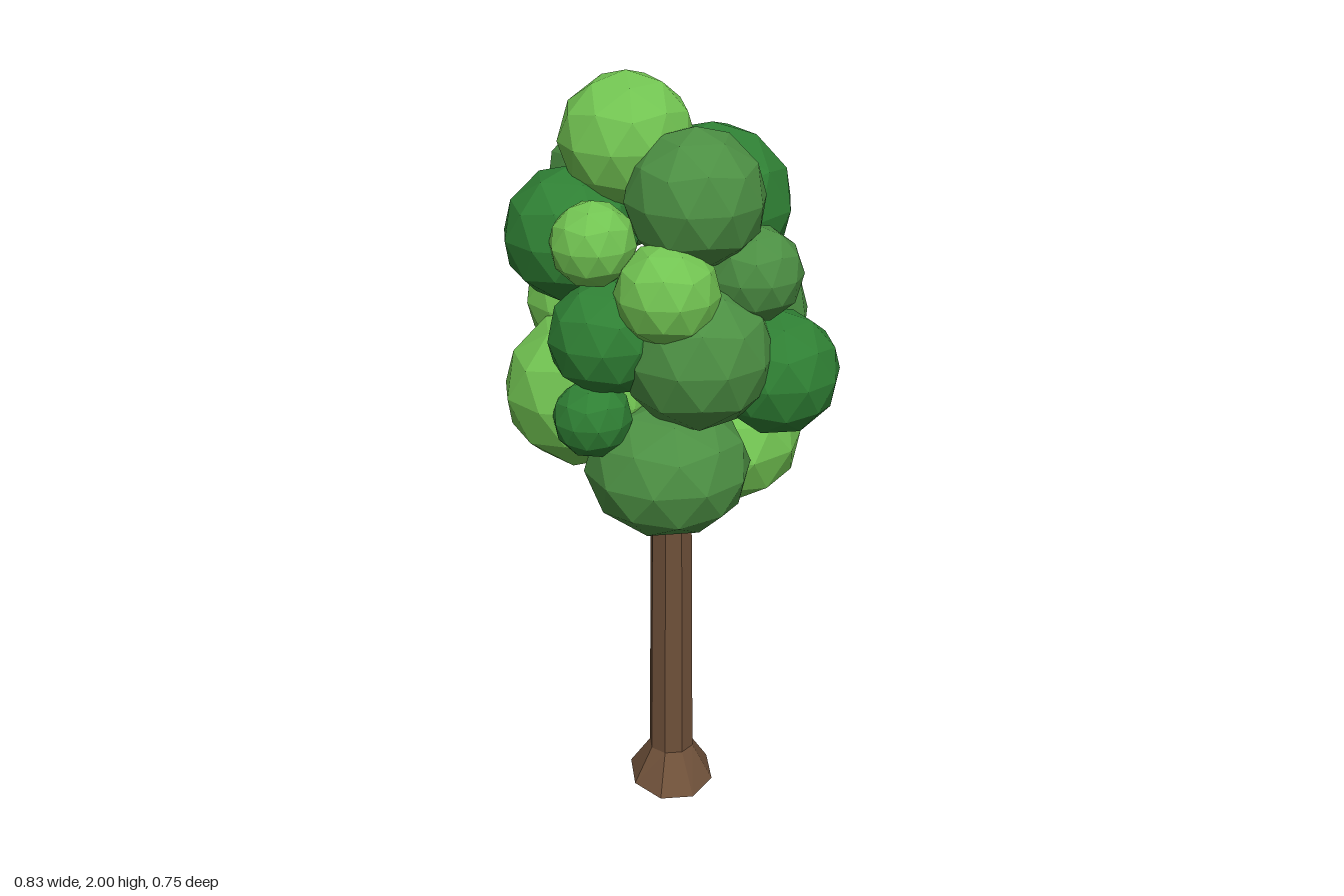
import * as THREE from 'three';

const mat = (color) => new THREE.MeshStandardMaterial({ color, flatShading: true });

export function createModel() {
  const tree = new THREE.Group();
  tree.name = 'tree';

  const bark = mat(0x6e5039);
  const light = mat(0x72c452);
  const mid = mat(0x4c8f43);
  const dark = mat(0x2f8034);

  // Trunk: slim tapered octagonal column reaching into the crown
  const trunk = new THREE.Mesh(new THREE.CylinderGeometry(0.052, 0.062, 1.3, 8), bark);
  trunk.name = 'trunk';
  trunk.position.set(0.012, 0.73, -0.027);
  trunk.rotation.y = Math.PI / 8;
  tree.add(trunk);

  // Root flare: short cone with an uneven, slightly tilted foot
  const flareGeo = new THREE.CylinderGeometry(0.061, 0.12, 0.1, 8);
  flareGeo.rotateY(Math.PI / 8);
  const p = flareGeo.attributes.position;
  for (let i = 0; i < p.count; i++) {
    if (p.getY(i) > 0) continue;
    const x = p.getX(i), z = p.getZ(i);
    p.setXYZ(i, x * 0.97, -0.041 - 0.07 * z, z * 1.2);
  }
  const flare = new THREE.Mesh(flareGeo, bark);
  flare.name = 'rootFlare';
  flare.position.set(0.012, 0.05, -0.027);
  tree.add(flare);

  // Crown: overlapping faceted leaf clumps [x, y, z, radius, material, vertical radius]
  const clumps = [
    [-0.10, 1.83, -0.01, 0.17, light],
    [0.05, 1.72, 0.14, 0.175, mid],
    [0.12, 1.645, -0.07, 0.207, dark],
    [-0.11, 1.67, -0.20, 0.18, mid],
    [-0.24, 1.60, 0.0, 0.172, dark],
    [-0.20, 1.625, 0.17, 0.107, light],
    [-0.03, 1.515, 0.24, 0.13, light],
    [0.195, 1.53, 0.15, 0.122, mid],
    [0.05, 1.34, 0.18, 0.193, mid],
    [0.26, 1.26, 0.12, 0.162, dark],
    [0.195, 1.35, -0.08, 0.182, mid],
    [-0.17, 1.385, 0.16, 0.147, dark],
    [-0.20, 1.38, -0.16, 0.152, light],
    [-0.22, 1.195, 0.01, 0.202, light],
    [-0.21, 1.19, 0.20, 0.10, dark],
    [-0.01, 1.27, -0.19, 0.183, mid],
    [0.12, 1.515, -0.235, 0.13, dark],
    [0.145, 1.02, -0.05, 0.212, light, 0.175],
    [-0.02, 1.035, 0.165, 0.212, mid, 0.175],
    [-0.11, 1.05, -0.165, 0.142, dark, 0.11],
  ];
  const clumpGeo = new THREE.IcosahedronGeometry(1, 1);
  clumpGeo.rotateX(-Math.atan((1 + Math.sqrt(5)) / 2)); // one corner points straight up
  const crown = new THREE.Group();
  crown.name = 'crown';
  clumps.forEach(([x, y, z, r, material, ry = r], i) => {
    const clump = new THREE.Mesh(clumpGeo, material);
    clump.name = `leafClump${i + 1}`;
    clump.position.set(x, y, z);
    clump.scale.set(r, ry, r);
    clump.rotation.y = i * 0.7;
    crown.add(clump);
  });
  tree.add(crown);

  return tree;
}
